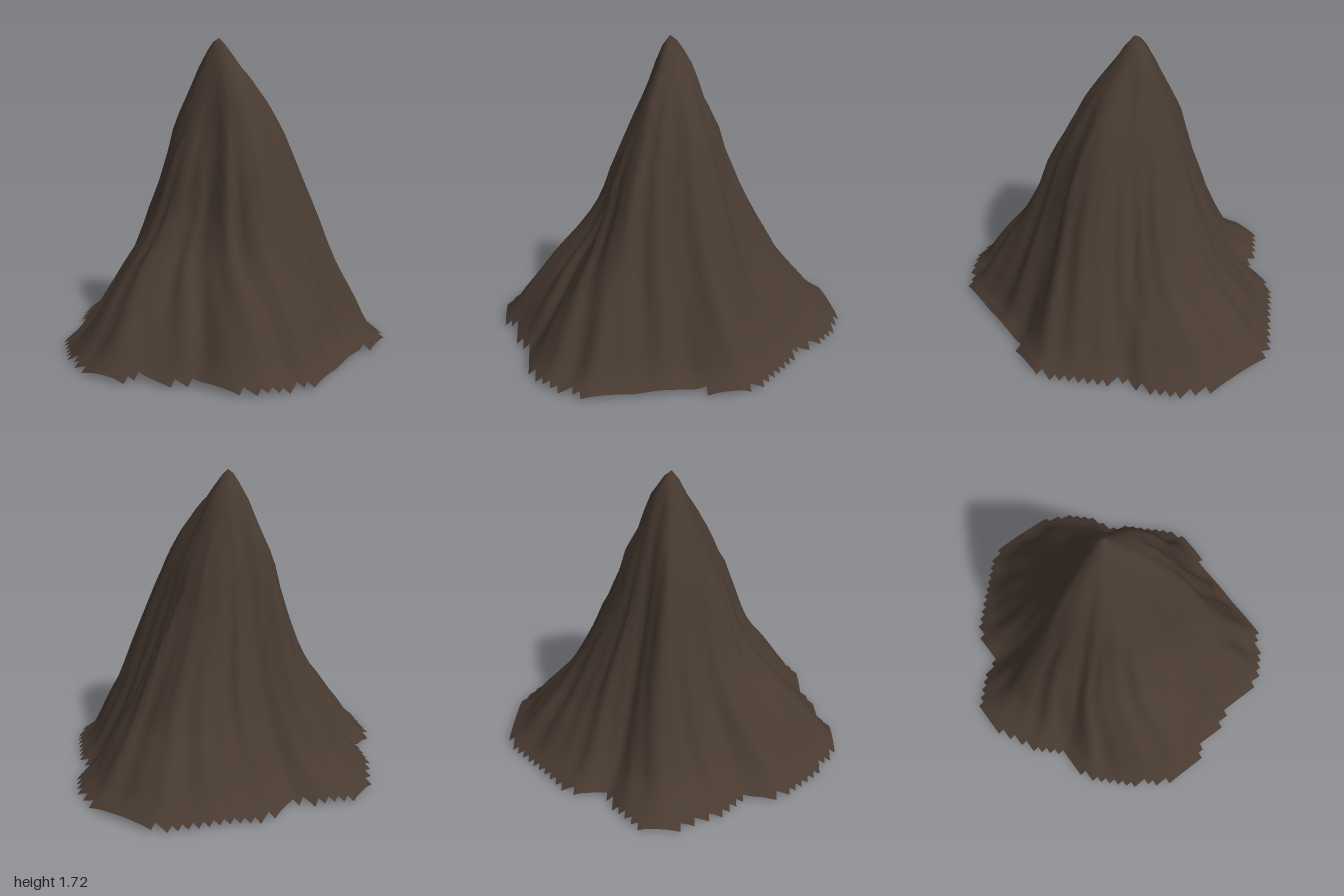
import * as THREE from 'three';

// Foot of the mountain as [x, z] points, walked around the summit
const OUTLINE = [
  [0.17, -1], [0.35, -0.92], [0.5, -0.78], [0.53, -0.66], [0.64, -0.6], [0.74, -0.5],
  [0.86, -0.38], [0.92, -0.27], [0.92, -0.15], [0.88, -0.02], [0.88, 0.3], [0.88, 0.56],
  [0.8, 0.66], [0.74, 0.76], [0.6, 0.84], [0.37, 0.86], [0.1, 0.94], [-0.02, 1],
  [-0.17, 1], [-0.34, 0.92], [-0.5, 0.77], [-0.61, 0.67], [-0.65, 0.55], [-0.66, 0.45],
  [-0.76, 0.34], [-0.86, 0.18], [-0.92, 0.01], [-0.92, -0.13], [-0.82, -0.25],
  [-0.66, -0.34], [-0.65, -0.5], [-0.52, -0.7], [-0.38, -0.83], [-0.18, -1],
];
const RIM = OUTLINE.map(([x, z]) => [Math.atan2(z, x), Math.hypot(x, z)]).sort((a, b) => a[0] - b[0]);

// Slope profiles: share of the foot radius reached at each height
const LEVELS = [1.73, 1.7, 1.6, 1.4, 1.2, 1.0, 0.8, 0.6, 0.4, 0.2, 0.1, 0.035, 0];
const SLOPES = {
  left: [0, 0.04, 0.11, 0.29, 0.41, 0.51, 0.59, 0.67, 0.76, 0.86, 0.91, 1, 1.05],
  right: [0, 0.06, 0.12, 0.24, 0.33, 0.39, 0.46, 0.54, 0.64, 0.76, 0.88, 1, 1.05],
  front: [0, 0.03, 0.07, 0.15, 0.23, 0.33, 0.39, 0.51, 0.69, 0.86, 0.93, 1, 1.05],
  back: [0, 0.04, 0.11, 0.18, 0.27, 0.33, 0.42, 0.52, 0.64, 0.82, 0.9, 1, 1.05],
};

function rimRadius(angle) {
  const n = RIM.length;
  let k = RIM.findIndex((p) => p[0] > angle);
  if (k < 0) k = n;
  const a = k > 0 ? RIM[k - 1] : [RIM[n - 1][0] - 2 * Math.PI, RIM[n - 1][1]];
  const b = k < n ? RIM[k] : [RIM[0][0] + 2 * Math.PI, RIM[0][1]];
  return THREE.MathUtils.lerp(a[1], b[1], (angle - a[0]) / (b[0] - a[0]));
}

const share = (x, z) => Math.hypot(x, z) / rimRadius(Math.atan2(z, x));

// Gullies and ribs running downhill, fading out at the summit and the rim
function ribs(angle, t) {
  const fade = Math.min(1, t * 2.2) * Math.min(1, Math.max(0, (1 - t) * 7));
  const wander = angle + 0.05 * Math.sin(t * 9);
  return fade * (0.011 * Math.sin(wander * 17 + 1) + 0.009 * Math.sin(wander * 29 + 2.3 + t * 3)
    + 0.006 * Math.sin(wander * 11 - t * 14));
}

function heightAt(x, z) {
  const r = Math.hypot(x, z);
  if (r < 1e-6) return LEVELS[0];
  const angle = Math.atan2(z, x);
  const t0 = share(x, z);
  const t = t0 + ribs(angle, t0);
  const wx = (x / r) ** 2;
  const sx = x > 0 ? SLOPES.left : SLOPES.right;
  const sz = z > 0 ? SLOPES.front : SLOPES.back;
  const at = (k) => sx[k] * wx + sz[k] * (1 - wx);
  for (let k = 1; k < LEVELS.length; k++) {
    if (t <= at(k)) {
      const f = Math.max(0, (t - at(k - 1)) / (at(k) - at(k - 1)));
      return THREE.MathUtils.lerp(LEVELS[k - 1], LEVELS[k], f);
    }
  }
  return 0;
}

// Square-grid terrain: only cells inside the foot outline are kept
function terrainGeometry() {
  const step = 2 / 52, nx = 24, nz = 26;
  const positions = [], index = [], ids = new Map();
  const vertex = (i, j) => {
    const key = `${i},${j}`;
    if (!ids.has(key)) {
      ids.set(key, positions.length / 3);
      positions.push(i * step, heightAt(i * step, j * step), j * step);
    }
    return ids.get(key);
  };
  for (let i = -nx; i < nx; i++) {
    for (let j = -nz; j < nz; j++) {
      if (share((i + 0.5) * step, (j + 0.5) * step) > 1) continue;
      const a = vertex(i, j), b = vertex(i, j + 1), c = vertex(i + 1, j + 1), d = vertex(i + 1, j);
      // Diagonals follow the fall line
      if ((i + 0.5) * (j + 0.5) > 0) index.push(a, b, c, a, c, d);
      else index.push(a, b, d, b, c, d);
    }
  }
  const geometry = new THREE.BufferGeometry();
  geometry.setAttribute('position', new THREE.Float32BufferAttribute(positions, 3));
  geometry.setIndex(index);
  geometry.computeVertexNormals();
  return geometry;
}

export function createModel() {
  const group = new THREE.Group();
  group.name = 'mountain';
  const rock = new THREE.MeshStandardMaterial({ color: 0x483a31, side: THREE.DoubleSide });
  rock.name = 'dark brown rock';
  const slopes = new THREE.Mesh(terrainGeometry(), rock);
  slopes.name = 'mountainSlopes';
  group.add(slopes);
  return group;
}
